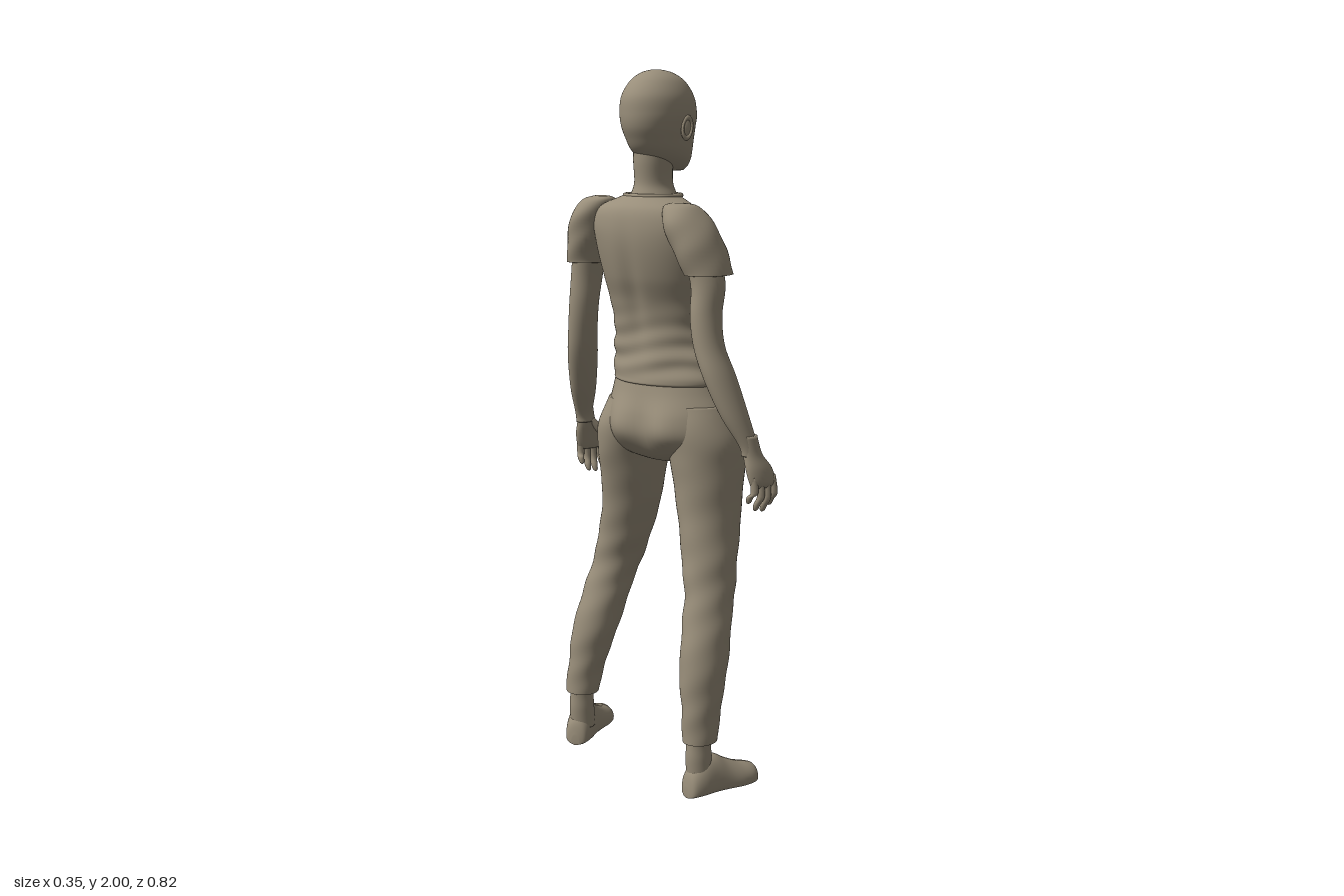
import * as THREE from 'three';

const clay = new THREE.MeshStandardMaterial({ color: 0x998e7a });
clay.name = 'clay';
const TWIST = 0.26; // the body is turned slightly towards its left

// Closed smooth skin over a list of rings
function skin(rings) {
  const n = rings[0].length, pos = [], idx = [];
  rings.forEach(r => r.forEach(p => pos.push(p.x, p.y, p.z)));
  for (let i = 0; i < rings.length - 1; i++) for (let j = 0; j < n; j++) {
    const k = (j + 1) % n, a = i * n + j, b = i * n + k;
    idx.push(a, b, a + n, b, b + n, a + n);
  }
  [0, rings.length - 1].forEach((row, end) => {
    const c = new THREE.Vector3();
    rings[row].forEach(p => c.addScaledVector(p, 1 / n));
    const ci = pos.length / 3;
    pos.push(c.x, c.y, c.z);
    for (let j = 0; j < n; j++) {
      const a = row * n + j, b = row * n + (j + 1) % n;
      if (end) idx.push(ci, a, b); else idx.push(ci, b, a);
    }
  });
  const g = new THREE.BufferGeometry();
  g.setAttribute('position', new THREE.Float32BufferAttribute(pos, 3));
  g.setIndex(idx);
  g.computeVertexNormals();
  return g;
}

// Smooth interpolation between rows of numbers
function sample(rows, t) {
  const f = t * (rows.length - 1), i = Math.min(Math.floor(f), rows.length - 2), u = f - i;
  const at = k => rows[Math.max(0, Math.min(rows.length - 1, k))];
  return rows[i].map((b, c) => {
    const a = at(i - 1)[c], d = at(i + 1)[c], e = at(i + 2)[c];
    return b + 0.5 * u * (d - a + u * (2 * a - 5 * b + 4 * d - e + u * (3 * (b - d) + e - a)));
  });
}

// Loft downwards through ellipses: rows of [y, centreX, centreZ, radiusX, radiusZ]
function loft(rows, { steps = 40, seg = 36, yaw = 0, shape } = {}) {
  const rings = [], c = Math.cos(yaw), s = Math.sin(yaw);
  for (let i = 0; i <= steps; i++) {
    const [y, cx, cz, rx, rz] = sample(rows, i / steps), ring = [];
    for (let j = 0; j < seg; j++) {
      const a = j / seg * Math.PI * 2;
      const p = new THREE.Vector3(Math.cos(a) * Math.max(rx, 0.001), y, Math.sin(a) * Math.max(rz, 0.001));
      if (shape) shape(p, a);
      ring.push(new THREE.Vector3(cx + p.x * c + p.z * s, p.y, cz - p.x * s + p.z * c));
    }
    rings.push(ring);
  }
  return skin(rings);
}

const bell = (v, centre, width) => Math.exp(-(((v - centre) / width) ** 2));
const swell = (p, k) => { p.x *= 1 + k; p.z *= 1 + k; };

export function createModel() {
  const model = new THREE.Group();
  const add = (name, geometry, parent = model) => {
    const m = new THREE.Mesh(geometry, clay);
    m.name = name;
    parent.add(m);
    return m;
  };

  // Head: profile rows of [y, back, front, half width]
  const profile = [[2, -0.045, -0.015, 0.012], [1.992, -0.075, 0.02, 0.04], [1.97, -0.108, 0.058, 0.068],
    [1.93, -0.135, 0.088, 0.089], [1.885, -0.14, 0.098, 0.094], [1.85, -0.136, 0.096, 0.089],
    [1.82, -0.123, 0.093, 0.082], [1.79, -0.105, 0.091, 0.074], [1.765, -0.075, 0.09, 0.062],
    [1.745, -0.03, 0.085, 0.043], [1.732, 0.02, 0.075, 0.02]];
  const face = (p, a) => {
    if (Math.cos(a) <= 0) return;
    const z = Math.abs(p.z), y = p.y, front = Math.cos(a);
    let d = 0.007 * bell(y, 1.878, 0.011) * bell(z, 0.03, 0.03);           // brows
    d -= 0.013 * bell(y, 1.855, 0.013) * bell(z, 0.034, 0.016);            // eye sockets
    d += 0.008 * bell(y, 1.855, 0.006) * bell(z, 0.034, 0.012);            // eyelids
    d += 0.012 * bell(y, 1.842, 0.02) * bell(z, 0, 0.009);                 // nose bridge
    d += 0.021 * bell(y, 1.818, 0.011) * bell(z, 0, 0.012);                // nose tip
    d += 0.008 * (bell(y, 1.788, 0.005) + bell(y, 1.774, 0.005)) * bell(z, 0, 0.02); // lips
    d -= 0.006 * bell(y, 1.761, 0.006) * bell(z, 0, 0.025);
    d += 0.004 * bell(y, 1.742, 0.01) * bell(z, 0, 0.02);                  // chin
    p.x += d * front;
  };
  add('head', loft(profile.map(([y, b, f, w]) => [y, (b + f) / 2 - 0.002, 0.035 - (b + f + 0.04) / 2 * 0.26, (f - b) / 2, w]),
    { steps: 100, seg: 112, yaw: TWIST, shape: face }));
  for (const s of [1, -1]) {
    const ear = new THREE.Group();
    ear.name = s > 0 ? 'rightEar' : 'leftEar';
    add('earShell', new THREE.SphereGeometry(1, 20, 14), ear).scale.set(0.016, 0.03, 0.009);
    const rim = add('earRim', new THREE.TorusGeometry(0.017, 0.0045, 8, 24), ear);
    rim.scale.set(0.9, 1.6, 1);
    rim.position.z = s * 0.006;
    ear.position.set(-0.018 + s * 0.024, 1.847, 0.032 + s * 0.088);
    ear.rotation.set(0, TWIST - s * 0.25, -0.15);
    model.add(ear);
  }
  add('neck', loft([[1.82, -0.035, 0.035, 0.06, 0.055], [1.76, -0.038, 0.032, 0.058, 0.052],
    [1.7, -0.035, 0.03, 0.058, 0.05], [1.66, -0.035, 0.03, 0.068, 0.065], [1.6, -0.04, 0.03, 0.07, 0.08]], { yaw: TWIST }));

  // Shirt with bust, spine hollow and cloth folds
  const shirtShape = (p, a) => {
    const front = Math.max(0, Math.cos(a)), back = Math.max(0, -Math.cos(a));
    p.x += front * 0.04 * bell(p.y, 1.45, 0.06) * bell(Math.abs(p.z), 0.075, 0.055);
    p.x += back * 0.012 * bell(p.z, 0, 0.03) * bell(p.y, 1.4, 0.15);
    const loose = bell(p.y, 1.24, 0.09);
    swell(p, loose * (0.022 * Math.sin(p.y * 105 + 2.2 * Math.sin(a * 2)) + 0.015 * Math.sin(a * 5 + p.y * 30)));
  };
  add('shirt', loft([[1.672, -0.04, 0.03, 0.06, 0.066], [1.662, -0.045, 0.03, 0.076, 0.092], [1.635, -0.055, 0.03, 0.096, 0.15],
    [1.59, -0.045, 0.03, 0.118, 0.178], [1.53, -0.03, 0.03, 0.132, 0.18], [1.45, -0.015, 0.028, 0.132, 0.168],
    [1.38, -0.002, 0.022, 0.122, 0.157], [1.3, 0.012, 0.02, 0.12, 0.153], [1.22, 0.022, 0.028, 0.128, 0.168],
    [1.17, 0.028, 0.032, 0.138, 0.18], [1.155, 0.028, 0.032, 0.137, 0.178], [1.153, 0.028, 0.032, 0.12, 0.16]],
  { steps: 110, seg: 80, yaw: TWIST, shape: shirtShape }));
  const collar = add('collar', new THREE.TorusGeometry(1, 0.09, 10, 48));
  collar.rotation.set(Math.PI / 2, 0, -TWIST, 'YXZ');
  collar.rotation.set(Math.PI / 2, TWIST, 0, 'YXZ');
  collar.scale.set(0.071, 0.079, 0.07);
  collar.position.set(-0.037, 1.667, 0.03);

  const sleeveShape = (p, a) => swell(p, 0.02 * Math.sin(p.y * 70 + a * 3));
  add('rightSleeve', loft([[1.652, -0.058, 0.175, 0.02, 0.025], [1.642, -0.056, 0.183, 0.05, 0.045], [1.6, -0.048, 0.203, 0.073, 0.06],
    [1.54, -0.034, 0.228, 0.078, 0.062], [1.475, -0.018, 0.25, 0.073, 0.054], [1.466, -0.016, 0.252, 0.07, 0.051],
    [1.466, -0.016, 0.252, 0.05, 0.038]], { shape: sleeveShape }));
  add('leftSleeve', loft([[1.662, -0.108, -0.115, 0.02, 0.025], [1.65, -0.11, -0.123, 0.05, 0.045], [1.61, -0.113, -0.142, 0.068, 0.057],
    [1.55, -0.112, -0.162, 0.07, 0.057], [1.485, -0.108, -0.18, 0.066, 0.051], [1.475, -0.107, -0.181, 0.064, 0.049],
    [1.475, -0.107, -0.181, 0.045, 0.036]], { shape: sleeveShape }));

  // Arms
  add('rightArm', loft([[1.56, -0.04, 0.225, 0.055, 0.045], [1.45, -0.025, 0.258, 0.05, 0.041], [1.36, -0.036, 0.266, 0.046, 0.038],
    [1.28, -0.036, 0.28, 0.045, 0.037], [1.2, -0.022, 0.308, 0.049, 0.036], [1.1, 0.003, 0.34, 0.042, 0.031],
    [1.02, 0.03, 0.366, 0.028, 0.021], [0.99, 0.036, 0.37, 0.027, 0.02]]));
  add('leftArm', loft([[1.56, -0.112, -0.165, 0.05, 0.042], [1.45, -0.112, -0.183, 0.048, 0.039], [1.36, -0.118, -0.192, 0.044, 0.038],
    [1.28, -0.114, -0.206, 0.044, 0.037], [1.2, -0.102, -0.226, 0.046, 0.036], [1.1, -0.08, -0.258, 0.04, 0.031],
    [1.02, -0.06, -0.286, 0.027, 0.021], [0.99, -0.055, -0.29, 0.026, 0.02]]));

  // Hands: s mirrors the inner and outer sides
  const hand = (name, x, y, z, s) => {
    const g = new THREE.Group();
    g.name = name;
    add('palm', loft([[0.02, 0, 0, 0.026, 0.02], [-0.03, 0.01, 0.006 * s, 0.029, 0.02], [-0.07, 0.024, 0.016 * s, 0.042, 0.021],
      [-0.105, 0.032, 0.022 * s, 0.043, 0.018], [-0.122, 0.034, 0.022 * s, 0.036, 0.011]], { seg: 24, steps: 20 }), g);
    [0.165, 0.188, 0.193, 0.178].forEach((len, i) => {
      const bx = 0.001 + i * 0.021, tx = -0.004 + i * 0.024, mid = (0.1 + len) / 2;
      add('finger', loft([[-0.09, bx, 0.022 * s, 0.011, 0.012], [-mid, (bx + tx) / 2 + 0.004, 0.026 * s, 0.0105, 0.011],
        [-len + 0.02, tx, 0.016 * s, 0.0095, 0.01], [-len + 0.005, tx, 0.01 * s, 0.007, 0.007],
        [-len, tx, 0.008 * s, 0.002, 0.002]], { seg: 12, steps: 16 }), g);
    });
    add('thumb', loft([[-0.025, 0.018, 0, 0.014, 0.012], [-0.06, 0.045, -0.01 * s, 0.015, 0.013], [-0.09, 0.064, -0.02 * s, 0.012, 0.011],
      [-0.115, 0.075, -0.025 * s, 0.009, 0.009], [-0.124, 0.077, -0.026 * s, 0.002, 0.002]], { seg: 14, steps: 18 }), g);
    g.position.set(x, y, z);
    model.add(g);
  };
  hand('rightHand', 0.03, 1.025, 0.367, 1);
  hand('leftHand', -0.058, 1.025, -0.286, -1);

  // Trousers: hips with buttocks, then one leg each side
  const hipShape = (p, a) => {
    const back = Math.max(0, -Math.cos(a));
    p.x -= back * 0.028 * bell(p.y, 1.03, 0.07) * bell(Math.abs(p.z), 0.085, 0.06);
  };
  add('trouserHips', loft([[1.18, 0.026, 0.03, 0.125, 0.168], [1.13, 0.022, 0.034, 0.13, 0.18], [1.07, 0.015, 0.042, 0.132, 0.197],
    [1.01, 0.012, 0.046, 0.126, 0.2], [0.96, 0.012, 0.042, 0.1, 0.16], [0.935, 0.012, 0.04, 0.06, 0.09], [0.925, 0.012, 0.04, 0.02, 0.03]],
  { steps: 50, seg: 64, yaw: TWIST, shape: hipShape }));
  const legShape = (p, a) => {
    const loose = 0.35 + bell(p.y, 0.58, 0.12) + bell(p.y, 0.25, 0.1);
    swell(p, loose * (0.016 * Math.sin(p.y * 62 + a * 2) + 0.012 * Math.sin(p.y * 38 - a * 3)));
  };
  const legOptions = { steps: 100, seg: 48, shape: legShape };
  add('rightTrouserLeg', loft([[1.1, 0.035, 0.135, 0.1, 0.09], [1.02, 0.045, 0.155, 0.116, 0.103], [0.94, 0.05, 0.168, 0.11, 0.096],
    [0.8, 0.045, 0.184, 0.096, 0.078], [0.68, 0.03, 0.206, 0.085, 0.069], [0.58, 0.014, 0.226, 0.076, 0.061],
    [0.48, -0.008, 0.242, 0.073, 0.061], [0.38, -0.024, 0.251, 0.072, 0.06], [0.26, -0.036, 0.256, 0.059, 0.05],
    [0.175, -0.04, 0.257, 0.053, 0.045], [0.163, -0.04, 0.257, 0.05, 0.042], [0.163, -0.04, 0.257, 0.034, 0.03]], legOptions));
  add('leftTrouserLeg', loft([[1.1, -0.015, -0.05, 0.1, 0.088], [1.02, -0.02, -0.07, 0.118, 0.097], [0.94, -0.018, -0.088, 0.112, 0.086],
    [0.8, -0.006, -0.115, 0.091, 0.08], [0.68, -0.004, -0.152, 0.08, 0.077], [0.58, -0.012, -0.187, 0.071, 0.073],
    [0.48, -0.036, -0.21, 0.069, 0.071], [0.38, -0.06, -0.228, 0.069, 0.068], [0.26, -0.08, -0.25, 0.056, 0.056],
    [0.175, -0.088, -0.262, 0.051, 0.05], [0.163, -0.088, -0.263, 0.048, 0.047], [0.163, -0.088, -0.263, 0.034, 0.032]], legOptions));
  const strip = (name, points) => add(name, new THREE.TubeGeometry(
    new THREE.CatmullRomCurve3(points.map(p => new THREE.Vector3(...p))), 24, 0.004, 6));
  strip('flySeam', [[0.155, 1.15, 0.002], [0.151, 1.09, 0.008], [0.144, 1.04, 0.01], [0.125, 0.995, 0.012]]);

  // Feet: rows of [distance from heel, half width, height]
  const foot = (name, x, z, yaw) => {
    const rows = [[0, 0.012, 0.03], [0.01, 0.032, 0.075], [0.045, 0.042, 0.108], [0.09, 0.043, 0.112], [0.13, 0.047, 0.09],
      [0.175, 0.053, 0.068], [0.215, 0.048, 0.055], [0.237, 0.032, 0.045], [0.245, 0.01, 0.025]];
    const rings = [];
    for (let i = 0; i <= 40; i++) {
      const [d, w, h] = sample(rows, i / 40);
      rings.push(Array.from({ length: 36 }, (_, j) => {
        const a = j / 36 * Math.PI * 2, up = -Math.sin(a);
        const y = up > 0 ? h * (0.3 + 0.7 * up) : h * 0.3 * (1 - Math.sqrt(-up));
        return new THREE.Vector3(d, Math.max(0, y), w * Math.cos(a));
      }));
    }
    const m = add(name, skin(rings));
    m.position.set(x, 0, z);
    m.rotation.y = yaw;
  };
  foot('rightFoot', -0.085, 0.252, 0);
  foot('leftFoot', -0.132, -0.243, 0.62);
  for (const [name, x, z] of [['rightAnkle', -0.04, 0.25], ['leftAnkle', -0.092, -0.264]])
    add(name, loft([[0.24, x, z, 0.038, 0.032], [0.16, x, z, 0.037, 0.03], [0.11, x, z, 0.039, 0.033], [0.05, x + 0.004, z, 0.038, 0.034]]));

  return model;
}
